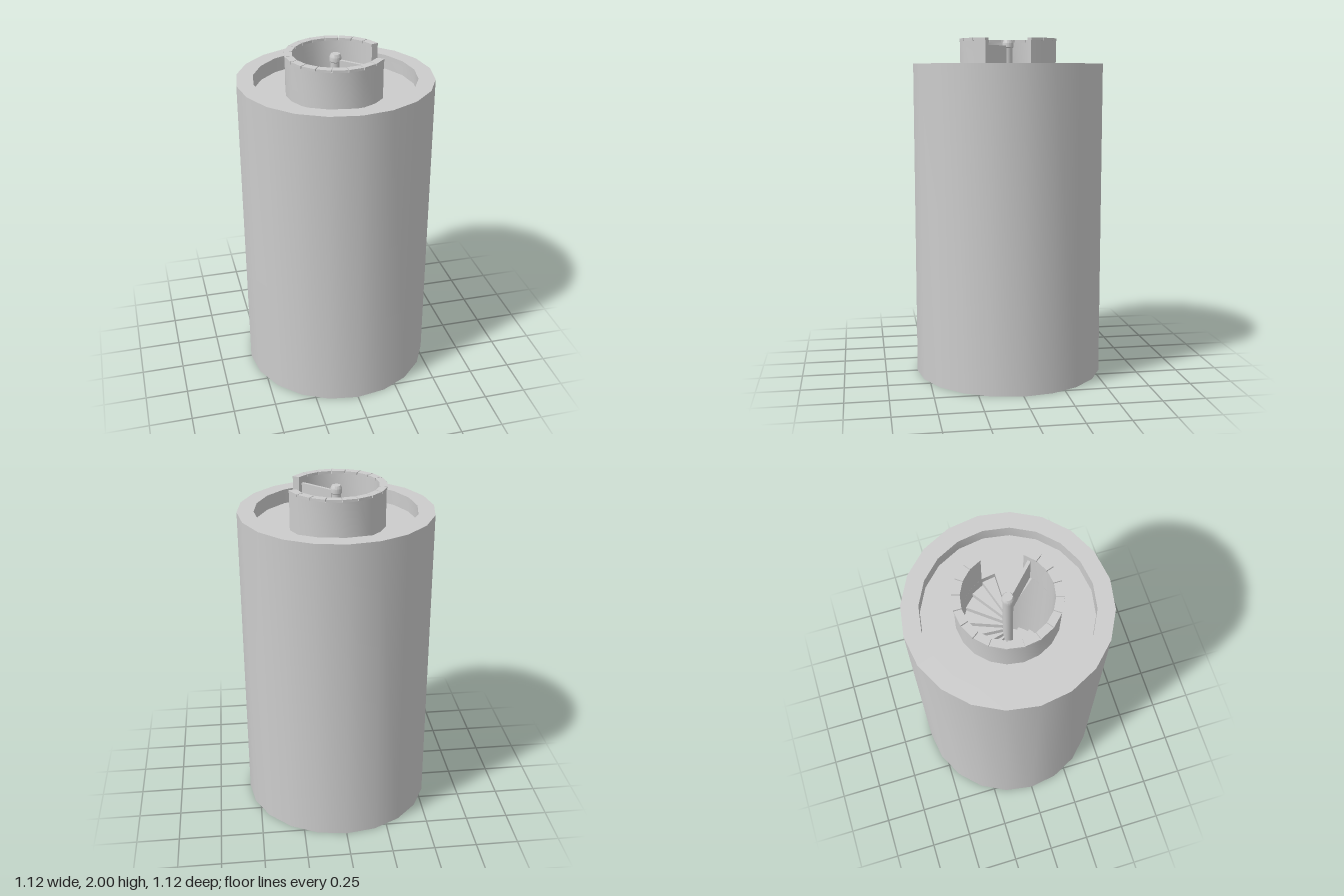
import * as THREE from 'three';
import { toCreasedNormals } from 'three/addons/utils/BufferGeometryUtils.js';

const SIDES = 20, FLOOR = 1.77, WELL = 0.245, RISE = 0.04, STEP = 311 / 18;

// point on plan, angle in degrees, counter-clockwise seen from above
const polar = (r, deg) => {
  const a = THREE.MathUtils.degToRad(deg);
  return new THREE.Vector2(r * Math.cos(a), r * Math.sin(a));
};

// plan points along a ring from one angle to another, on the polygon corners
function arc(r, from, to) {
  const n = Math.max(1, Math.ceil((to - from) / (360 / SIDES) - 1e-6));
  return Array.from({ length: n + 1 }, (_, i) =>
    polar(r, Math.min(to, from + (i * 360) / SIDES)));
}

// raise a plan outline from y0 to y1
function raise(points, y0, y1) {
  const g = new THREE.ExtrudeGeometry(new THREE.Shape(points), { depth: y1 - y0, bevelEnabled: false });
  g.rotateX(-Math.PI / 2).translate(0, y0, 0);
  return toCreasedNormals(g, 0.5);
}

const sector = (r0, r1, from, to) => [...arc(r1, from, to), ...arc(r0, from, to).reverse()];

function lathe(profile, sides) {
  const pts = profile.map(([r, y]) => new THREE.Vector2(r, y));
  return toCreasedNormals(new THREE.LatheGeometry(pts, sides), 0.5);
}

export function createModel() {
  const model = new THREE.Group();
  model.name = 'stairTower';
  const stone = new THREE.MeshStandardMaterial({ color: 0xcccccc, side: THREE.DoubleSide });
  stone.name = 'grey stone';
  const add = (name, geometry, parent = model) => {
    const mesh = new THREE.Mesh(geometry, stone);
    mesh.name = name;
    parent.add(mesh);
    return mesh;
  };

  // outer drum with raised parapet
  add('drum', lathe([[0, 0], [0.56, 0], [0.56, 1.855], [0.465, 1.855], [0.465, FLOOR]], SIDES));

  // roof floor, cut open over the stairwell except for the entry landing
  const floor = new THREE.Shape(arc(0.465, 0, 360));
  floor.holes.push(new THREE.Path([new THREE.Vector2(0, 0), ...arc(WELL, 0, 311)]));
  add('roofFloor', new THREE.ShapeGeometry(floor).rotateX(-Math.PI / 2).translate(0, FLOOR, 0));

  // stairwell lining below the roof
  add('stairwell', lathe([[0, 0.02], [WELL, 0.02], [WELL, FLOOR - 0.002]], SIDES));

  // turret wall with a doorway
  add('turretWall', raise(sector(WELL, 0.284, 18, 324), FLOOR, 1.985));

  // coping stones, one per wall face
  const coping = new THREE.Group();
  coping.name = 'coping';
  model.add(coping);
  for (let a = 18; a < 324; a += 18) {
    const from = a === 18 ? a : a + 0.5;
    const to = a === 306 ? a + 18 : a + 17.5;
    add('copingStone', raise(sector(0.243, 0.287, from, to), 1.985, 2), coping);
  }

  // central newel post with a chamfered head
  add('newelPost', lathe([[0, 0.02], [0.028, 0.02], [0.028, 1.945], [0.033, 1.95],
    [0.033, 1.975], [0.025, 1.992], [0, 1.992]], 16));

  // partition guarding the stairwell beside the landing
  const partition = new THREE.BoxGeometry(0.215, 1.96 - FLOOR, 0.018);
  partition.translate(0.1375, (1.96 + FLOOR) / 2, 0).rotateY(THREE.MathUtils.degToRad(316));
  add('partition', partition);

  // winding treads going down round the post
  const stairs = new THREE.Group();
  stairs.name = 'stairs';
  model.add(stairs);
  for (let i = 0, top = FLOOR - RISE; top > 0.06; i++, top -= RISE) {
    const a = i * STEP;
    const outline = [polar(0, 0), polar(WELL, a), polar(WELL, a + STEP)];
    add('tread', raise(outline, top - RISE, top), stairs);
  }
  return model;
}
